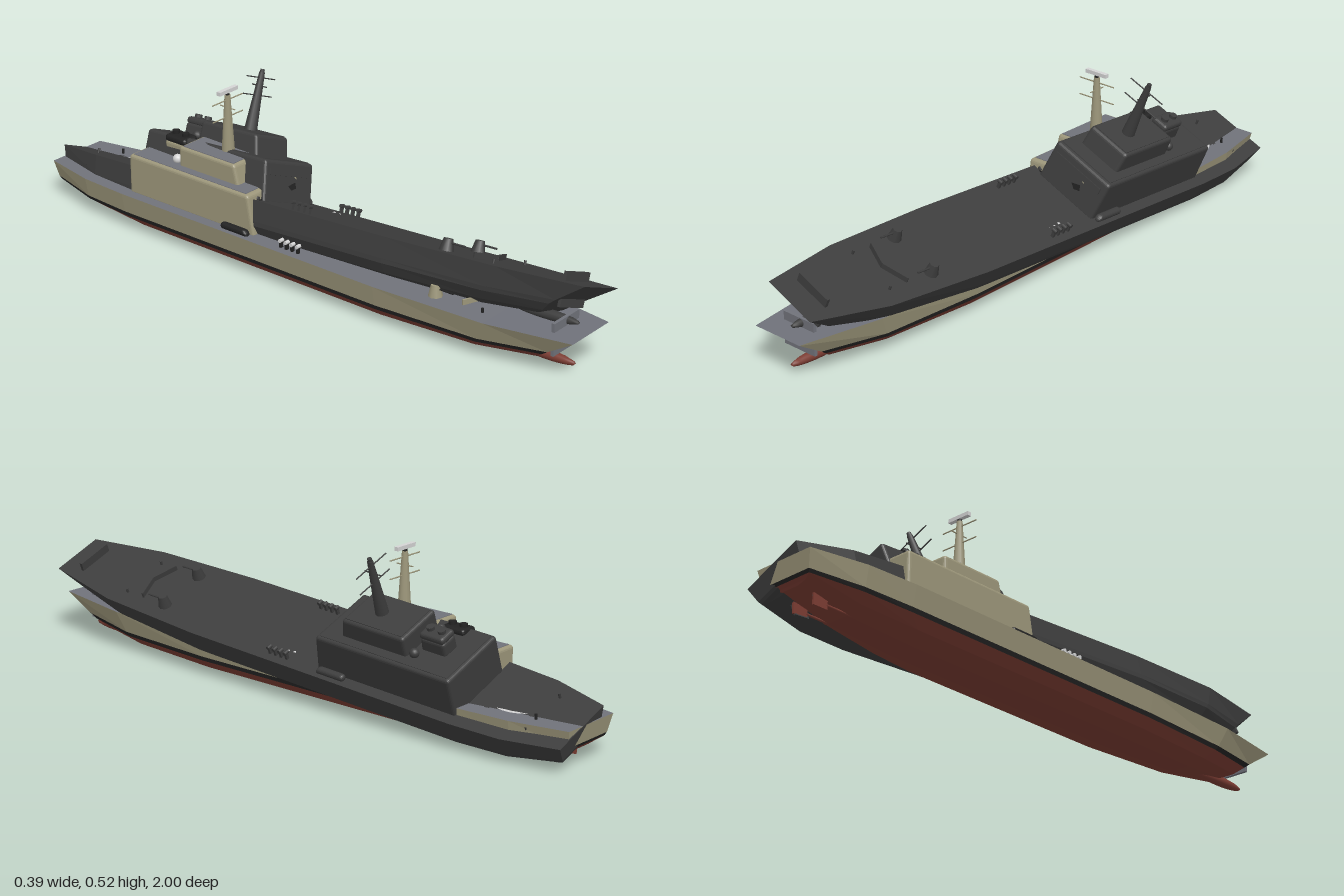
import * as THREE from 'three';
import { RoundedBoxGeometry } from 'three/addons/geometries/RoundedBoxGeometry.js';

const mat = (name, color) => {
  const m = new THREE.MeshStandardMaterial({ color });
  m.name = name;
  return m;
};

// Hull levels from deck edge to keel: [half width, y, z] at six stations, bow to stern
const LEVELS = [
  [[.088, .133, 1], [.135, .127, .73], [.151, .124, .35], [.151, .124, -.65], [.142, .124, -.82], [.105, .124, -1]],
  [[.077, .075, .91], [.12, .063, .7], [.139, .06, .35], [.139, .06, -.65], [.13, .062, -.82], [.092, .07, -.99]],
  [[.072, .06, .89], [.115, .049, .69], [.135, .046, .35], [.135, .046, -.65], [.125, .05, -.82], [.088, .06, -.985]],
  [[.05, .035, .86], [.086, .022, .67], [.108, .018, .35], [.108, .018, -.6], [.095, .028, -.8], [.065, .052, -.975]],
  [[.02, .022, .83], [.036, .006, .65], [.045, .002, .35], [.045, .002, -.55], [.04, .014, -.8], [.03, .046, -.97]],
];
const R = ([x, y, z]) => [x, y, z];
const L = ([x, y, z]) => [-x, y, z];

function quadsGeometry(quads) {
  const pos = [];
  for (const [a, b, c, d] of quads) pos.push(...a, ...b, ...c, ...a, ...c, ...d);
  const g = new THREE.BufferGeometry();
  g.setAttribute('position', new THREE.Float32BufferAttribute(pos, 3));
  g.computeVertexNormals();
  return g;
}

// Band of plating between two levels, closed across bow and stern
function band(a, b) {
  const q = [], n = a.length - 1;
  for (let i = 0; i < n; i++) {
    q.push([R(a[i]), R(b[i]), R(b[i + 1]), R(a[i + 1])]);
    q.push([L(a[i + 1]), L(b[i + 1]), L(b[i]), L(a[i])]);
  }
  q.push([L(a[0]), L(b[0]), R(b[0]), R(a[0])]);
  q.push([R(a[n]), R(b[n]), L(b[n]), L(a[n])]);
  return q;
}

// Flat surface across the hull, facing up or down
function across(a, up) {
  const q = [];
  for (let i = 0; i < a.length - 1; i++) {
    const c = [L(a[i]), R(a[i]), R(a[i + 1]), L(a[i + 1])];
    q.push(up ? c : c.reverse());
  }
  return q;
}

// Deckhouse tier with softened edges and a raked front
function tier(hw, y0, y1, z0, z1, rake) {
  const g = new RoundedBoxGeometry(hw * 2, y1 - y0, z1 - z0, 2, .01);
  g.translate(0, (y0 + y1) / 2, (z0 + z1) / 2);
  const p = g.attributes.position;
  for (let i = 0; i < p.count; i++) {
    if (p.getZ(i) > (z0 + z1) / 2) p.setZ(i, p.getZ(i) - rake * (p.getY(i) - y0) / (y1 - y0));
  }
  g.computeVertexNormals();
  return g;
}

function ship(name, c, withRadar) {
  const s = new THREE.Group();
  s.name = name;
  const add = (part, geo, m, x = 0, y = 0, z = 0) => {
    const mesh = new THREE.Mesh(geo, m);
    mesh.name = part;
    mesh.position.set(x, y, z);
    s.add(mesh);
    return mesh;
  };
  const box = (w, h, d) => new THREE.BoxGeometry(w, h, d);
  const cyl = (r0, r1, h, n = 12) => new THREE.CylinderGeometry(r0, r1, h, n);

  // Hull
  add('hullSides', quadsGeometry(band(LEVELS[0], LEVELS[1])), c.paint);
  add('waterlineStripe', quadsGeometry(band(LEVELS[1], LEVELS[2])), c.black);
  add('hullBottom', quadsGeometry([...band(LEVELS[2], LEVELS[3]), ...band(LEVELS[3], LEVELS[4]),
    ...across(LEVELS[4], false)]), c.red);
  add('deck', quadsGeometry(across(LEVELS[0], true)), c.deck);
  const bulb = add('bowBulb', new THREE.SphereGeometry(.016, 14, 10), c.red, 0, .022, .845);
  bulb.scale.z = 7;
  add('bowPlate', box(.12, .101, .01), c.deck, 0, .1075, .915);

  // Deckhouse, roofs and bridge windows
  add('lowerHouse', tier(.115, .115, .247, -.648, -.132, .025), c.paint);
  add('upperHouse', tier(.077, .235, .31, -.47, -.225, .02), c.paint);
  add('lowerRoof', box(.21, .004, .465), c.deck, 0, .2465, -.404);
  add('upperRoof', box(.136, .004, .205), c.deck, 0, .3095, -.356);
  const win = add('bridgeWindows', box(.19, .018, .006), c.black, 0, .212, -.15);
  win.rotation.x = -.19;

  // Mast with yards and radar
  add('mast', cyl(.009, .021, .187), c.paint, 0, .3985, -.335);
  add('mastCap', cyl(.007, .007, .012), c.black, 0, .496, -.335);
  for (const y of [.42, .475]) {
    add('yard', cyl(.002, .002, .135, 6), c.paint, 0, y, -.335).rotation.z = Math.PI / 2;
  }
  add('yardForeAft', cyl(.002, .002, .06, 6), c.paint, 0, .45, -.335).rotation.x = Math.PI / 2;
  if (withRadar) add('radarBar', box(.08, .012, .014), c.white, 0, .505, -.335);

  // Funnel with exhausts
  add('funnel', tier(.029, .24, .29, -.575, -.485, .006), c.paint);
  add('funnelCap', tier(.03, .285, .308, -.575, -.487, .003), c.black);
  for (const z of [-.553, -.513]) add('exhaust', cyl(.012, .012, .014), c.black, 0, .311, z);

  // Helicopter pad ring
  add('padRing', new THREE.RingGeometry(.072, .086, 40).rotateX(-Math.PI / 2), c.white, 0, .126, -.77);

  // Breakwater pointing forward
  for (const k of [-1, 1]) {
    const b = add('breakwater', box(.085, .016, .006), c.paint, k * .04, .135, .635);
    b.rotation.y = k * .34;
  }

  // Paired fittings on both sides
  for (const k of [-1, 1]) {
    add('radome', new THREE.SphereGeometry(.015, 14, 10), c.white, k * .062, .259, -.49);
    add('boat', tier(.012, .122, .143, -.25, -.14, .012), c.black, k * .127);
    add('turret', cyl(.014, .022, .036, 8), c.paint, k * .08, .143, .525);
    add('barrel', cyl(.003, .003, .055, 6), c.black, k * .08, .15, .56).rotation.x = Math.PI / 2;
    for (let i = 0; i < 4; i++) {
      const z = -.02 + i * .022;
      add('raftCradle', box(.01, .018, .008), c.black, k * .12, .133, z);
      add('lifeRaft', cyl(.006, .006, .016), c.white, k * .12, .146, z).rotation.z = Math.PI / 2;
    }
    for (const z of [.69, -.87]) add('bollard', cyl(.004, .004, .018, 8), c.black, k * .08, .131, z);
    add('rudder', box(.006, .05, .05), c.red, k * .04, .028, -.9);
    add('shaft', cyl(.004, .004, .12, 8), c.red, k * .04, .017, -.82).rotation.x = Math.PI / 2;
  }
  return s;
}

export function createModel() {
  const colours = {
    paint: mat('beige paint', 0x9c967a),
    deck: mat('deck grey', 0x70727a),
    red: mat('hull red', 0x7c3d33),
    black: mat('black', 0x222222),
    white: mat('white', 0xd4d4d4),
  };
  const dark = mat('charcoal', 0x3d3d3d);
  const darkSet = { paint: dark, deck: dark, red: dark, black: dark, white: dark };

  const model = new THREE.Group();
  model.name = 'ships';

  // Upright painted ship
  const painted = ship('paintedShip', colours, true);
  painted.position.set(-.046, 0, 0);
  model.add(painted);

  // Charcoal ship, heeled over and raised at the bow
  const charcoal = ship('charcoalShip', darkSet, false);
  charcoal.position.set(-.046, .068, .004);
  charcoal.rotation.set(-.061, 0, -.384);
  model.add(charcoal);
  return model;
}
